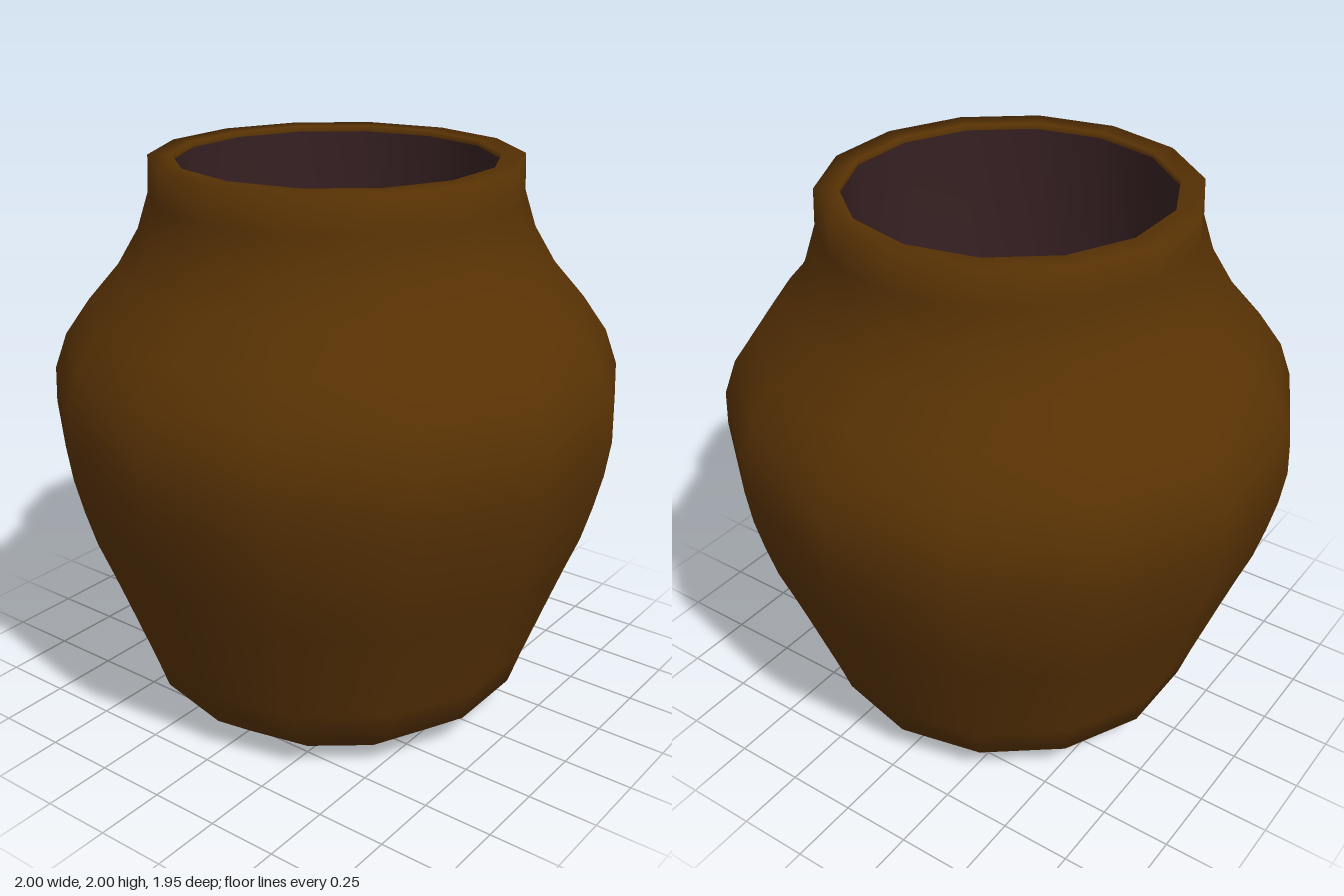
import * as THREE from 'three';

const SIDES = 14;
const RING_STEP = 0.125;

// Smooth-shaded surface of revolution with a corner on the +x axis
function turned(name, profile, material) {
  const points = profile.map(([r, y]) => new THREE.Vector2(r, y));
  const mesh = new THREE.Mesh(new THREE.LatheGeometry(points, SIDES, Math.PI / 2), material);
  mesh.name = name;
  return mesh;
}

export function createModel() {
  const clay = new THREE.MeshStandardMaterial({ color: 0x583204 });
  clay.name = 'brown clay';
  const lining = new THREE.MeshStandardMaterial({ color: 0x362022 });
  lining.name = 'dark lining';

  const pot = new THREE.Group();
  pot.name = 'pot';

  // Radii of evenly spaced rings from the foot up to the neck
  const wall = [
    0.525, 0.685, 0.728, 0.774, 0.82, 0.867, 0.916, 0.952, 0.982,
    1.0, 0.995, 0.95, 0.862, 0.754, 0.68, 0.64, 0.635,
  ].map((r, i) => [r, i * RING_STEP]);

  // Base, outer wall and lip, turning just over the inner edge
  pot.add(turned('body', [[0, 0], ...wall, [0.555, 2.0], [0.553, 1.98]], clay));

  // Nearly straight well running down to the floor
  pot.add(turned('lining', [[0.553, 1.98], [0.52, 0.01], [0, 0.01]], lining));

  return pot;
}
